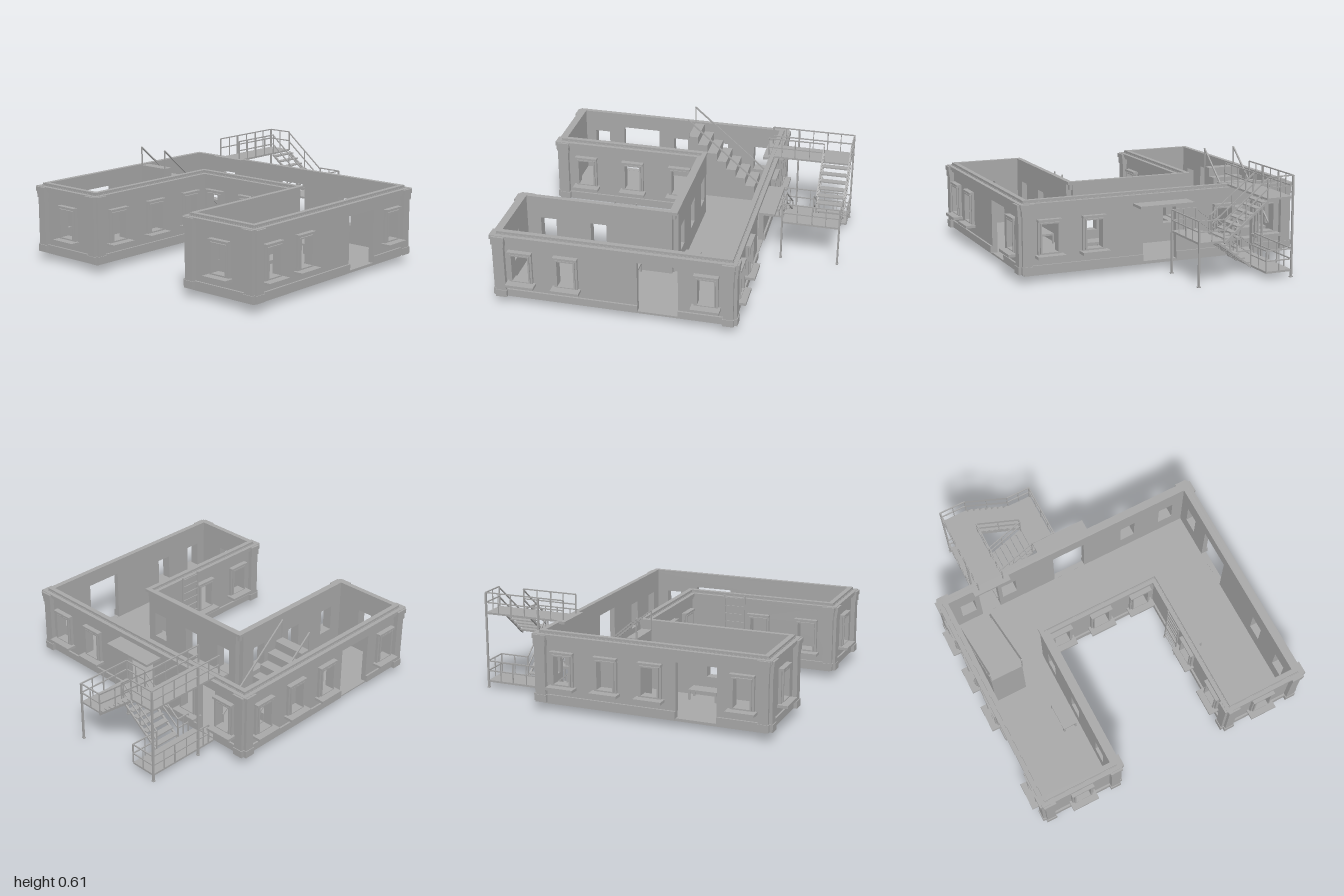
import * as THREE from 'three';

const plaster = new THREE.MeshStandardMaterial({ color: 0xa8a8a8 });
plaster.name = 'grey plaster';

function add(parent, name, geo, x = 0, y = 0, z = 0) {
  const m = new THREE.Mesh(geo, plaster);
  m.name = name;
  m.position.set(x, y, z);
  parent.add(m);
  return m;
}

// box given by its minimum and maximum corners
function block(parent, name, x0, x1, y0, y1, z0, z1) {
  return add(parent, name, new THREE.BoxGeometry(x1 - x0, y1 - y0, z1 - z0),
    (x0 + x1) / 2, (y0 + y1) / 2, (z0 + z1) / 2);
}

function rectPath(x0, x1, y0, y1, P = THREE.Path) {
  return new P([[x0, y0], [x1, y0], [x1, y1], [x0, y1]].map(p => new THREE.Vector2(...p)));
}

// square bar between two points
function bar(parent, name, a, b, t = 0.007) {
  const A = new THREE.Vector3(...a), B = new THREE.Vector3(...b);
  const m = add(parent, name, new THREE.BoxGeometry(t, t, A.distanceTo(B)));
  m.position.copy(A).add(B).multiplyScalar(0.5);
  m.lookAt(B);
  return m;
}

// handrail with posts and a middle rail following base points
function rail(parent, pts, h = 0.125) {
  const up = (p, k) => [p[0], p[1] + k, p[2]];
  pts.forEach((p, i) => {
    bar(parent, 'railPost', p, up(p, h));
    if (!i) return;
    for (const k of [h, h * 0.5]) bar(parent, 'handrail', up(pts[i - 1], k), up(p, k));
    const mid = p.map((v, j) => (v + pts[i - 1][j]) / 2);
    bar(parent, 'railPost', mid, up(mid, h), 0.005);
  });
}

// U-shaped plan, offset outwards by d from the wall face
const X = 0.87, ZB = -0.5, ZF = 0.925, XI = 0.385, ZC = -0.03;
function plan(d, P = THREE.Shape) {
  const x = X + d, i = XI - d, b = ZB - d, f = ZF + d, c = ZC + d;
  return new P([[-x, b], [x, b], [x, f], [i, f], [i, c], [-i, c], [-i, f], [-x, f]]
    .map(p => new THREE.Vector2(...p)));
}
function band(parent, name, y0, y1, outer, inner) {
  const s = plan(outer);
  if (inner !== undefined) s.holes.push(plan(inner, THREE.Path));
  const geo = new THREE.ExtrudeGeometry(s, { depth: y1 - y0, bevelEnabled: false });
  geo.rotateX(Math.PI / 2);
  add(parent, name, geo, 0, y1, 0);
}

const DOOR_TOP = 0.39;
// wall in its own frame: x along the wall, +z outwards
function wall(parent, name, u0, u1, windows, doors, pos, turn) {
  const g = new THREE.Group();
  g.name = name;
  const s = rectPath(u0, u1, 0.05, 0.475, THREE.Shape);
  windows.forEach(c => s.holes.push(rectPath(c - 0.05, c + 0.05, 0.175, 0.345)));
  doors.forEach(([a, b]) => s.holes.push(rectPath(a, b, 0.057, DOOR_TOP)));
  add(g, 'wallPanel', new THREE.ExtrudeGeometry(s, { depth: 0.033, bevelEnabled: false }), 0, 0, -0.033);

  // stepped window surround, hood and sill
  windows.forEach(c => {
    [[0.072, 0.163, 0.363, 0.018], [0.06, 0.17, 0.353, 0.028]].forEach(([w, lo, hi, d]) => {
      const f = rectPath(c - w, c + w, lo, hi, THREE.Shape);
      f.holes.push(rectPath(c - 0.05, c + 0.05, 0.175, 0.345));
      add(g, 'windowFrame', new THREE.ExtrudeGeometry(f, { depth: d, bevelEnabled: false }));
    });
    block(g, 'windowHood', c - 0.074, c + 0.074, 0.358, 0.372, 0, 0.032);
    block(g, 'windowSill', c - 0.087, c + 0.087, 0.144, 0.161, -0.01, 0.064);
  });

  // plinth, broken at the doors
  let start = u0;
  [...doors].sort((a, b) => a[0] - b[0]).concat([[u1, u1]]).forEach(([a, b]) => {
    block(g, 'plinth', start, a, 0.055, 0.1, 0, 0.012);
    start = b;
  });
  g.position.set(...pos);
  g.rotation.y = turn;
  parent.add(g);
}

// corner pilasters with base and capital
function pilaster(parent, x, z, sx, sz) {
  const g = new THREE.Group();
  g.name = 'cornerPilaster';
  for (const [y0, y1, e] of [[0.055, 0.1, 0.005], [0.1, 0.4, 0], [0.4, 0.44, 0.005], [0.44, 0.468, 0.01]]) {
    const w = 0.058 + e * 2, d = 0.05 + e * 2, y = (y0 + y1) / 2, h = y1 - y0;
    add(g, 'pilasterFace', new THREE.BoxGeometry(w, h, d), x - sx * 0.02, y, z + sz * 0.003);
    add(g, 'pilasterFace', new THREE.BoxGeometry(d, h, w), x + sx * 0.003, y, z - sz * 0.02);
  }
  parent.add(g);
}

// solid indoor stair, climbing towards the front
function indoorStair(parent) {
  const g = new THREE.Group();
  g.name = 'indoorStair';
  const n = 8, z0 = -0.41, run = 0.065, rise = 0.054;
  for (let i = 0; i < n; i++) {
    block(g, 'step', -0.82, -0.61, 0.05, 0.055 + rise * (i + 1), z0 + run * i, z0 + run * (i + 1));
  }
  for (const x of [-0.82, -0.608]) {
    bar(g, 'handrail', [x, 0.17, -0.4], [x, 0.608, 0.11], 0.009);
    bar(g, 'railPost', [x, 0.06, -0.4], [x, 0.17, -0.4]);
    bar(g, 'railPost', [x, 0.48, 0.107], [x, 0.608, 0.107]);
  }
  parent.add(g);
}

// outdoor flight of open treads between two points
function flight(parent, x0, y0, x1, y1, z0, z1) {
  const n = 7;
  for (let i = 0; i < n; i++) {
    const t = (i + 0.5) / n, x = x0 + (x1 - x0) * t, y = y0 + (y1 - y0) * t;
    block(parent, 'tread', x - 0.02, x + 0.02, y - 0.004, y + 0.004, z0, z1);
  }
  for (const z of [z0, z1]) {
    bar(parent, 'stringer', [x0, y0 - 0.01, z], [x1, y1 - 0.01, z], 0.012);
    rail(parent, [[x0, y0, z], [x1, y1, z]]);
  }
}

function fireEscape(parent) {
  const g = new THREE.Group();
  g.name = 'fireEscape';
  const L = -0.628, A = -0.46, B = -0.18, R = -0.02, zb = -0.992, zm = -0.82, zn = -0.805, zf = -0.632;
  block(g, 'basePlatform', L, A, 0.036, 0.048, zb, -0.5);
  block(g, 'middleLanding', B, R, 0.25, 0.262, zb, zf);
  block(g, 'topLanding', L, A, 0.474, 0.486, zb, -0.44);
  block(g, 'roofThreshold', -0.67, -0.42, 0.476, 0.492, -0.47, -0.43);
  flight(g, A, 0.048, B, 0.256, zn, zf);
  flight(g, B, 0.256, A, 0.48, zb, zm);
  rail(g, [[A, 0.486, zm], [A, 0.486, zf], [A, 0.486, -0.46]]);
  rail(g, [[A, 0.486, zb], [L, 0.486, zb], [L, 0.486, zm], [L, 0.486, zf], [L, 0.486, -0.46]]);
  rail(g, [[B, 0.262, zf], [R, 0.262, zf], [R, 0.262, zm], [R, 0.262, zb], [B, 0.262, zb]]);
  rail(g, [[A, 0.048, zn], [A, 0.048, zb], [L, 0.048, zb], [L, 0.048, zm], [L, 0.048, zf], [L, 0.048, -0.545]]);
  rail(g, [[A, 0.048, zf], [A, 0.048, -0.545]]);
  for (const [x, top] of [[L, 0.61], [R, 0.387]]) for (const z of [zb, zf]) {
    bar(g, 'supportPost', [x, 0, z], [x, top, z], 0.011);
    block(g, 'postFoot', x - 0.01, x + 0.01, 0, 0.006, z - 0.008, z + 0.008);
  }
  parent.add(g);
}

export function createModel() {
  const model = new THREE.Group();
  model.name = 'courtyardBuilding';
  const H = Math.PI / 2;

  // floor and horizontal mouldings
  band(model, 'floorSlab', 0.036, 0.056, -0.012);
  band(model, 'corniceLower', 0.435, 0.45, 0.014, -0.02);
  band(model, 'corniceUpper', 0.45, 0.471, 0.025, -0.02);
  band(model, 'parapet', 0.47, 0.488, -0.003, -0.033);

  // outer walls
  wall(model, 'leftWall', -ZF, -ZB, [-0.78, -0.5, 0.345], [[-0.07, 0.175]], [X, 0, 0], H);
  wall(model, 'rightWall', ZB, ZF, [-0.345, -0.065, 0.215, 0.775], [[0.37, 0.62]], [-X, 0, 0], -H);
  wall(model, 'backWall', -X, X, [-0.71, -0.43, 0.43, 0.718], [[-0.11, 0.11], [0.505, 0.635]], [0, 0, ZB], Math.PI);
  // courtyard walls and wing ends
  wall(model, 'courtyardBackWall', -XI, XI, [-0.28, 0, 0.28], [], [0, 0, ZC], 0);
  wall(model, 'courtyardLeftWall', ZC, ZF, [0.435, 0.755], [], [XI, 0, 0], -H);
  wall(model, 'courtyardRightWall', -ZF, -ZC, [-0.755, -0.435, -0.115], [], [-XI, 0, 0], H);
  for (const s of [-1, 1]) {
    const c = s * (X + XI) / 2, w = (X - XI) / 2;
    wall(model, 'wingEndWall', c - w, c + w, [c], [], [0, 0, ZF], 0);
    pilaster(model, s * X, ZB, s, -1);
    pilaster(model, s * X, ZF, s, 1);
    pilaster(model, s * XI, ZF, -s, 1);
  }

  // canopy over the back entrance
  block(model, 'canopy', -0.18, 0.175, 0.402, 0.418, -0.615, -0.49);

  indoorStair(model);
  fireEscape(model);

  // low furniture
  for (const [n, x0, x1, z0, z1] of [['desk', 0.22, 0.425, -0.17, -0.07],
    ['bench', 0.43, 0.52, 0.16, 0.39], ['bench', -0.53, -0.44, 0.31, 0.49]]) {
    block(model, n + 'Top', x0, x1, 0.108, 0.12, z0, z1);
    for (const x of [x0, x1 - 0.012]) for (const z of [z0, z1 - 0.012])
      block(model, n + 'Leg', x, x + 0.012, 0.055, 0.108, z, z + 0.012);
  }

  // courtyard roof ladder
  for (const z of [0.21, 0.345]) {
    bar(model, 'ladderSide', [0.352, 0.015, z], [0.352, 0.485, z], 0.008);
    block(model, 'ladderFoot', 0.342, 0.362, 0.012, 0.019, z - 0.008, z + 0.008);
  }
  for (let i = 0; i < 9; i++) {
    const y = 0.05 + i * 0.052;
    bar(model, 'ladderRung', [0.352, y, 0.21], [0.352, y, 0.345], 0.006);
  }
  return model;
}
